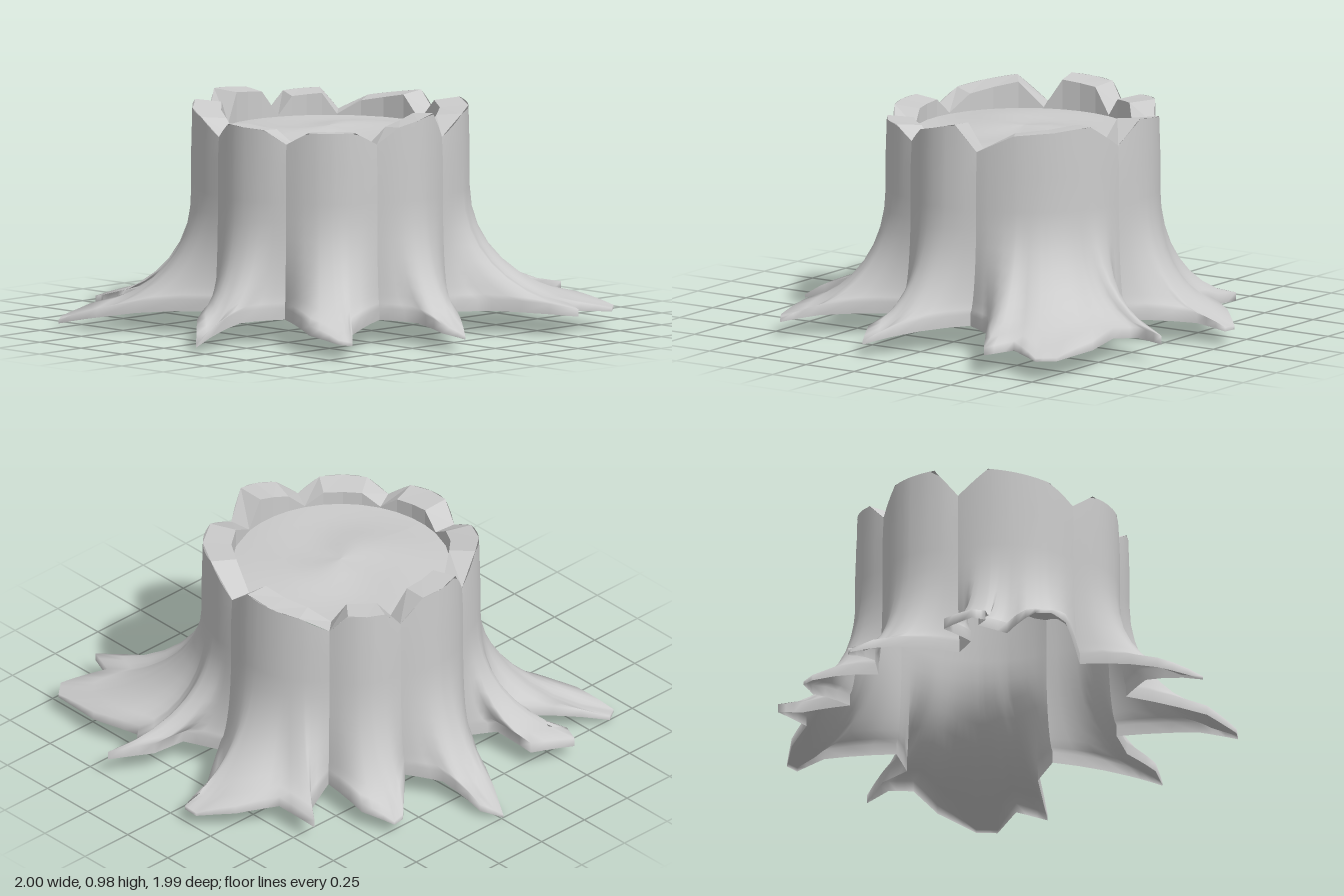
import * as THREE from 'three';

const VALLEY_TOP = 0.85, DISC_Y = 0.835;

// Each lobe of the stump: rim heights at its two shoulders, root tip height and
// ground outline (x, z) starting at the valley it shares with the previous lobe.
const lobes = [
  { name: 'frontRoot', rim: [0.91, 0.92], tip: 0.02, line: [[0.25, 0.52], [0.16, 0.7], [0.185, 0.99], [0.05, 0.85]] },
  { name: 'frontRightRoot', rim: [0.92, 0.96], tip: 0.02, line: [[-0.13, 0.57], [-0.57, 0.84], [-0.74, 0.9], [-0.78, 0.84],
    [-0.58, 0.53], [-0.74, 0.5], [-0.79, 0.58], [-0.86, 0.56], [-0.8, 0.36], [-0.6, 0.35]] },
  { name: 'rightRoot', rim: [0.975, 0.96], tip: 0, line: [[-0.54, 0.24], [-0.7, 0.14], [-1, 0.01], [-0.93, -0.06], [-0.72, -0.08]] },
  { name: 'backRightRoot', rim: [0.93, 0.94], tip: 0.05, line: [[-0.58, -0.17], [-0.78, -0.37], [-0.78, -0.42], [-0.64, -0.48]] },
  { name: 'backRoot', rim: [0.91, 0.95], tip: 0.06, line: [[-0.41, -0.46], [-0.5, -0.65], [-0.59, -0.71], [-0.38, -0.72],
    [-0.28, -0.88], [-0.16, -1], [-0.09, -1], [-0.08, -0.86]] },
  { name: 'backLeftRoot', rim: [0.955, 0.93], tip: 0.08, line: [[0.1, -0.61], [0.26, -0.68], [0.28, -0.83], [0.39, -1], [0.36, -0.86],
    [0.43, -0.78], [0.66, -0.83], [0.9, -0.81], [0.96, -0.74], [0.86, -0.56], [1, -0.5], [0.68, -0.3]] },
  { name: 'leftRoot', rim: [0.965, 0.92], tip: 0.05, line: [[0.58, -0.14], [0.85, 0.06], [0.97, 0.15], [0.87, 0.19], [0.7, 0.17]] },
  { name: 'frontLeftRoot', rim: [0.905, 0.905], tip: 0.06, line: [[0.54, 0.24], [0.7, 0.56], [0.82, 0.68], [0.77, 0.71], [0.58, 0.7]] },
];

// Surface through columns of points; every column has the same length
function loft(columns) {
  const rows = columns[0].length, index = [];
  for (let i = 0; i < columns.length - 1; i++) {
    for (let j = 0; j < rows - 1; j++) {
      const a = i * rows + j, b = a + rows;
      index.push(a, b, b + 1, a, b + 1, a + 1);
    }
  }
  const geo = new THREE.BufferGeometry();
  geo.setAttribute('position', new THREE.Float32BufferAttribute(columns.flat(2), 3));
  geo.setIndex(index);
  geo.computeVertexNormals();
  return geo;
}

function addMesh(group, name, geo, material) {
  const mesh = new THREE.Mesh(geo, material);
  mesh.name = name;
  group.add(mesh);
}

const polar = (angle, r, y) => [Math.sin(angle) * r - 0.01, y, Math.cos(angle) * r - 0.01];

// Split each outline edge in three and measure how far along each point lies
function sampleOutline(points) {
  const out = [{ x: points[0][0], z: points[0][1], s: 0 }];
  let length = 0;
  for (let i = 1; i < points.length; i++) {
    const [px, pz] = points[i - 1], [x, z] = points[i], d = Math.hypot(x - px, z - pz);
    for (let k = 1; k <= 3; k++) {
      out.push({ x: px + (x - px) * k / 3, z: pz + (z - pz) * k / 3, s: length + d * k / 3 });
    }
    length += d;
  }
  return out.map(({ x, z, s }) => ({ x, z, u: s / length }));
}

// Rim height across a lobe: steep notches at the valleys, sloping crown between
function rimHeight(u, [first, second]) {
  const crown = THREE.MathUtils.mapLinear(THREE.MathUtils.clamp(u, 0.25, 0.75), 0.25, 0.75, first, second);
  return VALLEY_TOP + (crown - VALLEY_TOP) * Math.min(1, u / 0.25, (1 - u) / 0.25);
}

// Trunk radius across a lobe: a soft bulge between the valleys
const trunkRadius = u => 0.565 + 0.03 * Math.sin(Math.PI * u);

export function createModel() {
  const group = new THREE.Group();
  group.name = 'treeStump';
  const smooth = new THREE.MeshStandardMaterial({ color: 0xcccccc, side: THREE.DoubleSide });
  const faceted = new THREE.MeshStandardMaterial({ color: 0xcccccc, side: THREE.DoubleSide, flatShading: true });

  lobes.forEach((lobe, n) => {
    const start = lobe.line[0], end = lobes[(n + 1) % lobes.length].line[0];
    const a0 = Math.atan2(start[0], start[1]);
    let a1 = Math.atan2(end[0], end[1]);
    if (a1 > a0) a1 -= Math.PI * 2;
    const angleAt = u => a0 + (a1 - a0) * u;
    const outline = sampleOutline([...lobe.line, end]);
    const reach = Math.max(...outline.map(p => Math.hypot(p.x, p.z)));

    // Bark wall flaring down into the root, which ends in a thick rounded edge
    const bark = outline.map(({ x, z, u }) => {
      const r = trunkRadius(u), angle = angleAt(u);
      const out = Math.max(0, (Math.hypot(x, z) - 0.6) / (reach - 0.6));
      const endY = 0.1 + (lobe.tip - 0.1) * out * out;
      const lipY = endY + 0.05 * (1 - 0.7 * Math.pow(out, 4));
      const [tx, , tz] = polar(angle, r, 0);
      const column = [polar(angle, r - 0.005, rimHeight(u, lobe.rim)), polar(angle, r, 0.75)];
      for (let k = 0; k <= 8; k++) {
        const t = k / 8, f = t * t;
        column.push([tx + (x - tx) * f, lipY + (0.6 - lipY) * Math.pow(1 - t, 1.5), tz + (z - tz) * f]);
      }
      column.push([x, endY, z]);
      return column;
    });
    addMesh(group, lobe.name, loft(bark), smooth);

    // Broken rim on top of the bark, and its inner wall
    const rim = [0, 0.25, 0.5, 0.75, 1].map(u => {
      const angle = angleAt(u), y = rimHeight(u, lobe.rim);
      return [polar(angle, 0.468, DISC_Y), polar(angle, 0.468, y - 0.01), polar(angle, trunkRadius(u) - 0.005, y)];
    });
    addMesh(group, lobe.name + 'Rim', loft(rim), faceted);
  });

  // Worn cut face, raised a little and uneven
  const face = [];
  for (let i = 0; i <= 32; i++) {
    const angle = -i / 32 * Math.PI * 2;
    face.push([0, 0.12, 0.24, 0.36, 0.47].map(r => polar(angle, r,
      DISC_Y + 0.2 * r * Math.sin(angle * 2 + r * 9) * (0.47 - r) + 0.025 * (1 - r / 0.47))));
  }
  addMesh(group, 'cutFace', loft(face), smooth);
  return group;
}
